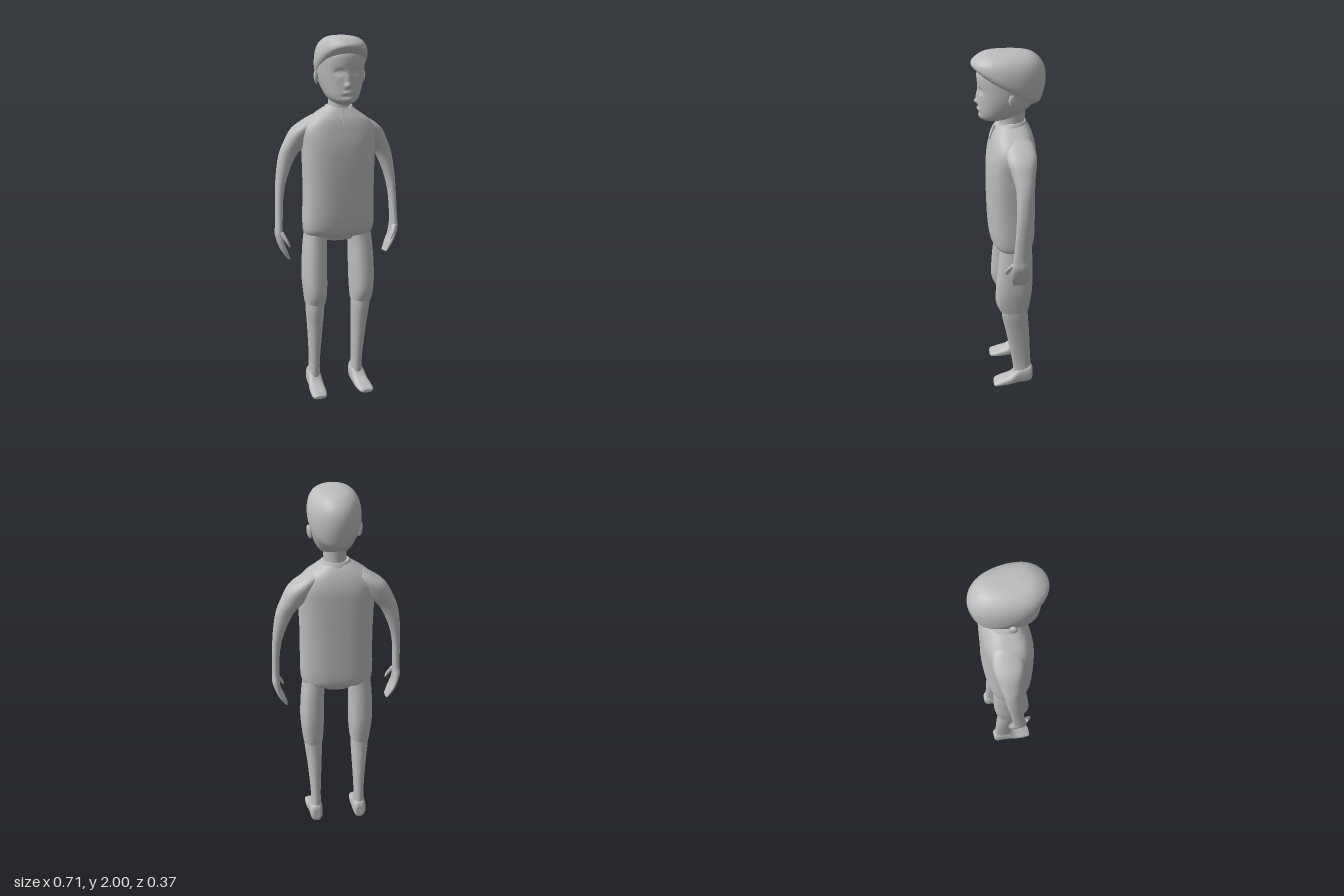
import * as THREE from 'three';

const grey = new THREE.MeshStandardMaterial({ color: 0xbcbcbc, side: THREE.DoubleSide });
grey.name = 'plain grey';

// Smooth value between b and c (Catmull-Rom)
const spline = (a, b, c, d, t) =>
  b + 0.5 * t * (c - a + t * (2 * a - 5 * b + 4 * c - d + t * (3 * (b - c) + d - a)));

// Closed tube through rings [y, xMin, xMax, zMin, zMax]; power > 2 makes squarer rings
function loft(rings, { power = 2, seg = 28, sub = 4, deform } = {}) {
  const rows = [];
  for (let i = 0; i < rings.length - 1; i++) {
    const at = (k) => rings[Math.min(Math.max(k, 0), rings.length - 1)];
    for (let s = 0; s < sub; s++) {
      rows.push(rings[i].map((_, k) => spline(at(i - 1)[k], at(i)[k], at(i + 1)[k], at(i + 2)[k], s / sub)));
    }
  }
  rows.push(rings[rings.length - 1]);
  const pos = [];
  const index = [];
  const v = new THREE.Vector3();
  const push = (x, y, z) => {
    v.set(x, y, z);
    if (deform) deform(v);
    pos.push(v.x, v.y, v.z);
  };
  const bend = (c) => Math.sign(c) * Math.abs(c) ** (2 / power);
  const addRing = ([y, x0, x1, z0, z1]) => {
    for (let j = 0; j < seg; j++) {
      const a = (j / seg) * Math.PI * 2;
      push((x0 + x1) / 2 + bend(Math.cos(a)) * (x1 - x0) / 2, y,
        (z0 + z1) / 2 + bend(Math.sin(a)) * (z1 - z0) / 2);
    }
  };
  rows.forEach(addRing);
  for (let i = 0; i < rows.length - 1; i++) {
    for (let j = 0; j < seg; j++) {
      const a = i * seg + j, b = i * seg + (j + 1) % seg;
      index.push(a, a + seg, b, b, a + seg, b + seg);
    }
  }
  // End caps keep their own vertices so the rims stay crisp
  [rows[0], rows[rows.length - 1]].forEach((r, top) => {
    const start = pos.length / 3;
    addRing(r);
    push((r[1] + r[2]) / 2, r[0], (r[3] + r[4]) / 2);
    for (let j = 0; j < seg; j++) {
      const a = start + j, b = start + (j + 1) % seg;
      if (top) index.push(a, start + seg, b);
      else index.push(a, b, start + seg);
    }
  });
  const g = new THREE.BufferGeometry();
  g.setAttribute('position', new THREE.Float32BufferAttribute(pos, 3));
  g.setIndex(index);
  g.computeVertexNormals();
  return g;
}

const mirror = (rings, s) => (s > 0 ? rings : rings.map(([y, a, b, c, d]) => [y, -b, -a, c, d]));

// Face relief: [x, y, width, height, depth]
const relief = [
  [0, 1.745, 0.014, 0.013, 0.02], [0, 1.775, 0.011, 0.025, 0.01],
  [0, 1.708, 0.022, 0.008, 0.009], [0, 1.69, 0.03, 0.007, -0.005],
  [0, 1.665, 0.03, 0.014, 0.006],
  [-0.042, 1.812, 0.022, 0.014, -0.013], [0.046, 1.812, 0.022, 0.014, -0.013],
  [-0.042, 1.81, 0.012, 0.006, 0.007], [0.046, 1.81, 0.012, 0.006, 0.007],
];
function shapeFace(v) {
  if (v.z < 0.04) return;
  const { x, y } = v;
  for (const [cx, cy, w, h, d] of relief) {
    v.z += d * Math.exp(-(((x - cx) / w) ** 2) - ((y - cy) / h) ** 2);
  }
}

// Hair runs from a hairline, high in front and low behind, up to the crown
function shapeHair(v) {
  const line = 1.81 + 0.62 * v.z;
  const crown = 2.0 - 0.9 * Math.max(0, Math.abs(v.z) - 0.1) ** 1.5;
  v.y = line + v.y * (crown - line);
}

export function createModel() {
  const model = new THREE.Group();
  const add = (name, geometry, parent = model) => {
    const mesh = new THREE.Mesh(geometry, grey);
    mesh.name = name;
    parent.add(mesh);
    return mesh;
  };

  // Shirt
  add('shirt', loft([
    [0.925, -0.16, 0.16, -0.11, 0.06], [0.94, -0.188, 0.188, -0.13, 0.085],
    [1.0, -0.198, 0.198, -0.14, 0.108], [1.2, -0.195, 0.195, -0.14, 0.117],
    [1.4, -0.2, 0.2, -0.14, 0.115], [1.5, -0.203, 0.203, -0.138, 0.1],
    [1.56, -0.17, 0.17, -0.125, 0.085], [1.6, -0.115, 0.115, -0.108, 0.065],
    [1.625, -0.075, 0.08, -0.09, 0.05],
  ], { power: 2.7, seg: 40 }));
  add('collar', loft([
    [1.595, -0.09, 0.095, -0.105, 0.07], [1.62, -0.08, 0.086, -0.097, 0.064],
    [1.638, -0.066, 0.076, -0.09, 0.055],
  ], { deform: (v) => { v.y -= 0.02 * Math.max(0, v.z / 0.06); } }));
  const placket = add('placket', new THREE.BoxGeometry(0.008, 0.08, 0.009));
  placket.position.set(0, 1.57, 0.083);
  placket.rotation.x = -0.36;

  // Seat of the shorts
  add('shortsSeat', loft([
    [0.9, -0.08, 0.08, -0.095, 0.035], [0.95, -0.12, 0.12, -0.118, 0.062],
    [1.0, -0.15, 0.15, -0.12, 0.07],
  ], { power: 2.6 }));

  // Neck and head
  const head = new THREE.Group();
  head.name = 'head';
  model.add(head);
  add('neck', loft([
    [1.58, -0.06, 0.075, -0.095, 0.055], [1.64, -0.052, 0.066, -0.085, 0.044],
    [1.74, -0.055, 0.07, -0.09, 0.05],
  ]), head);
  add('face', loft([
    [1.645, -0.025, 0.035, 0.05, 0.115], [1.66, -0.055, 0.065, -0.01, 0.141],
    [1.69, -0.08, 0.092, -0.075, 0.151], [1.75, -0.102, 0.117, -0.135, 0.152],
    [1.82, -0.116, 0.13, -0.165, 0.154], [1.9, -0.116, 0.13, -0.165, 0.155],
    [1.96, -0.08, 0.1, -0.1, 0.11],
  ], { power: 2.15, seg: 96, sub: 10, deform: shapeFace }), head);
  add('hair', loft([
    [0, -0.1, 0.114, -0.13, 0.15], [0.12, -0.12, 0.135, -0.158, 0.175],
    [0.3, -0.128, 0.143, -0.175, 0.186], [0.6, -0.121, 0.136, -0.187, 0.18],
    [0.82, -0.1, 0.113, -0.175, 0.16], [0.95, -0.065, 0.076, -0.13, 0.125],
    [1, -0.025, 0.03, -0.06, 0.06],
  ], { power: 2.1, seg: 48, deform: shapeHair }), head);

  for (const s of [1, -1]) {
    const side = s > 0 ? 'left' : 'right';
    const limb = (name, rings, options) => add(side + name, loft(mirror(rings, s), options));

    const ear = add(side + 'Ear', new THREE.SphereGeometry(1, 16, 12), head);
    ear.scale.set(0.012, 0.036, 0.021);
    ear.position.set(0.005 + s * 0.129, 1.783, -0.008);
    ear.rotation.set(0.2, s * 0.35, -s * 0.15);

    // Arm with a cupped hand
    limb('Arm', [
      [0.805, 0.275, 0.291, -0.065, 0.005], [0.85, 0.29, 0.322, -0.078, 0.015],
      [0.9, 0.309, 0.343, -0.08, 0.018], [0.95, 0.314, 0.356, -0.074, 0.015],
      [1.0, 0.314, 0.352, -0.062, 0.008], [1.14, 0.305, 0.348, -0.072, -0.005],
      [1.25, 0.28, 0.341, -0.087, -0.01], [1.365, 0.228, 0.323, -0.1, -0.01],
      [1.44, 0.16, 0.293, -0.115, 0.01], [1.51, 0.12, 0.252, -0.125, 0.03],
      [1.56, 0.09, 0.182, -0.11, 0.02], [1.585, 0.07, 0.14, -0.08, 0],
    ], { power: 2.2 });
    limb('Thumb', [
      [0.885, 0.285, 0.297, 0.03, 0.047], [0.915, 0.295, 0.316, 0.018, 0.047],
      [0.96, 0.314, 0.342, -0.01, 0.024],
    ], { seg: 14 });

    // Leg, shorts and foot
    limb('ShortsLeg', [
      [0.54, 0.08, 0.19, -0.1, 0.062], [0.6, 0.075, 0.197, -0.11, 0.084],
      [0.7, 0.072, 0.204, -0.12, 0.082], [0.85, 0.07, 0.197, -0.12, 0.068],
      [0.93, 0.065, 0.188, -0.117, 0.06], [1.0, 0.06, 0.18, -0.115, 0.06],
    ], { power: 2.4 });
    limb('Shin', [
      [0.07, 0.095, 0.163, -0.125, -0.02], [0.175, 0.1, 0.157, -0.118, -0.008],
      [0.385, 0.09, 0.172, -0.107, 0.028], [0.5, 0.085, 0.184, -0.098, 0.05],
      [0.58, 0.085, 0.184, -0.098, 0.05],
    ], { power: 2.2 });
    // Foot is lofted heel to toe, then laid flat
    const foot = loft(mirror([
      [-0.132, 0.11, 0.15, -0.1, -0.03], [-0.115, 0.095, 0.165, -0.125, -0.006],
      [-0.05, 0.09, 0.17, -0.112, 0], [0, 0.09, 0.178, -0.064, 0],
      [0.05, 0.091, 0.182, -0.044, 0], [0.09, 0.1, 0.18, -0.028, 0],
      [0.102, 0.115, 0.168, -0.02, -0.003],
    ], s), { power: 2.6 });
    add(side + 'Foot', foot.rotateX(Math.PI / 2));
  }
  return model;
}
